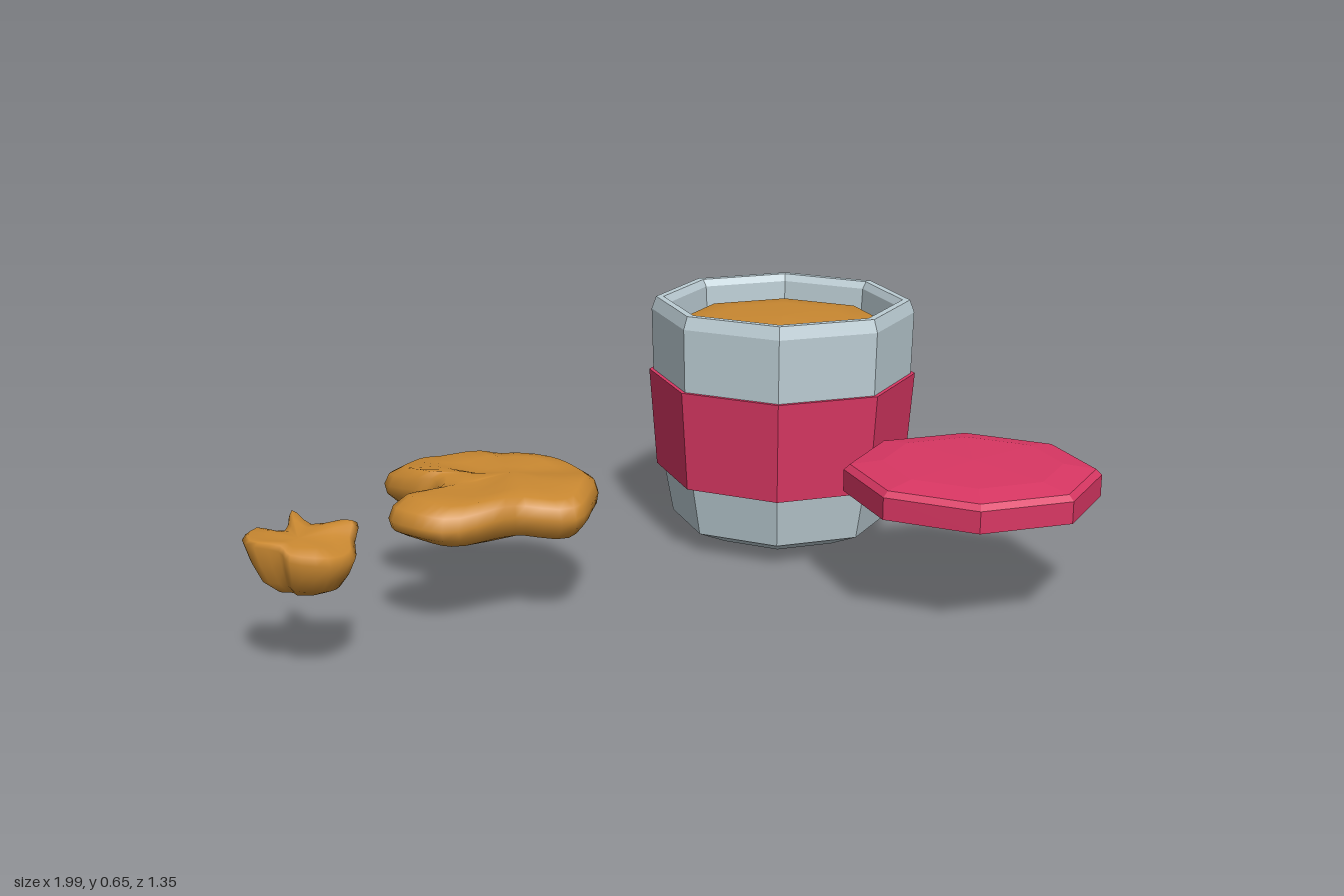
import * as THREE from 'three';
import { mergeVertices } from 'three/addons/utils/BufferGeometryUtils.js';

const material = (name, color, flatShading = false) => {
  const m = new THREE.MeshStandardMaterial({ color, flatShading });
  m.name = name;
  return m;
};

// Eight-sided turned form from [radius, height] pairs
function octagonal(profile, flat = true) {
  const g = new THREE.LatheGeometry(profile.map(([r, y]) => new THREE.Vector2(r, y)), 8);
  if (!flat) return g;
  const faceted = g.toNonIndexed();
  faceted.computeVertexNormals();
  return faceted;
}

// Lumpy solid: a closed outline [x, z, lift] repeated in rings [scale, y] about a centre
function lump(outline, [cx, cz], rings, samples, bump) {
  const curve = new THREE.CatmullRomCurve3(
    outline.map(([x, z, lift = 0]) => new THREE.Vector3(x, lift, z)), true, 'centripetal');
  const rim = Array.from({ length: samples }, (_, i) => curve.getPoint(i / samples));
  const positions = [], index = [];
  rings.forEach(([s, y], j) => rim.forEach((p, i) => {
    const x = cx + (p.x - cx) * s, z = cz + (p.z - cz) * s;
    const wave = bump * Math.sin(x * 23 + 1) * Math.cos(z * 19);
    positions.push(x, y + p.y * s * s + wave, z);
    if (j === rings.length - 1) return;
    const n = (i + 1) % samples;
    const a = j * samples + i, b = j * samples + n, d = a + samples, c = b + samples;
    if (s > 0) index.push(a, d, b);
    if (rings[j + 1][0] > 0) index.push(b, d, c);
  }));
  let g = new THREE.BufferGeometry();
  g.setAttribute('position', new THREE.Float32BufferAttribute(positions, 3));
  g.setIndex(index);
  g = mergeVertices(g, 1e-5);
  g.computeVertexNormals();
  return g;
}

export function createModel() {
  const root = new THREE.Group();
  root.name = 'jarWithCookie';
  const glass = material('paleGlass', 0xbccdd4);
  const red = material('raspberryRed', 0xd93763);
  const brown = material('cookieBrown', 0xc98831);

  const add = (parent, name, geometry, mat) => {
    const mesh = new THREE.Mesh(geometry, mat);
    mesh.name = name;
    parent.add(mesh);
    return mesh;
  };

  // Jar with bevelled foot and thick rim
  const jar = new THREE.Group();
  jar.name = 'jar';
  jar.position.set(0.64, 0, -0.32);
  root.add(jar);
  add(jar, 'jarBody', octagonal([
    [0, 0], [0.2, 0.015], [0.29, 0.055], [0.315, 0.19], [0.343, 0.45], [0.347, 0.615],
    [0.335, 0.648], [0.315, 0.648], [0.303, 0.63], [0.298, 0.55],
  ]), glass);
  add(jar, 'label', octagonal([
    [0.3, 0.187], [0.334, 0.187], [0.354, 0.45], [0.33, 0.45],
  ]), red);
  add(jar, 'filling', octagonal([
    [0.3, 0.565], [0.27, 0.588], [0.18, 0.596], [0, 0.6],
  ], false), brown);

  // Lid lying in front of the jar
  const lid = add(root, 'lid', octagonal([
    [0, 0.27], [0.315, 0.27], [0.315, 0.325], [0.3, 0.339], [0.22, 0.351], [0, 0.356],
  ]), red);
  lid.position.set(0.64, 0, 0.36);

  // Cookie with a bite out of its left side
  add(root, 'bittenCookie', lump([
    [-0.41, -0.65], [-0.34, -0.67], [-0.28, -0.64], [-0.155, -0.62], [-0.12, -0.56, -0.01],
    [-0.02, -0.46, -0.01], [-0.02, -0.34, -0.01], [-0.06, -0.235], [-0.14, -0.155],
    [-0.235, -0.1], [-0.325, -0.175], [-0.41, -0.19], [-0.53, -0.23], [-0.57, -0.29],
    [-0.57, -0.39], [-0.46, -0.4], [-0.41, -0.43], [-0.385, -0.48], [-0.41, -0.52],
  ], [-0.22, -0.37], [
    [0, 0.21], [0.35, 0.21], [0.65, 0.215], [0.88, 0.23], [0.98, 0.255], [1, 0.28],
    [0.96, 0.308], [0.85, 0.326], [0.6, 0.33], [0.3, 0.326], [0, 0.325],
  ], 57, 0.009), brown);

  // Crumb, wide and pointed at the top and narrow underneath
  add(root, 'crumb', lump([
    [-1, -0.305, 0.012], [-0.93, -0.39, 0.01], [-0.865, -0.365, -0.01], [-0.82, -0.405, 0.025],
    [-0.81, -0.33], [-0.74, -0.255, 0.02], [-0.77, -0.22, -0.01], [-0.8, -0.175, -0.03],
    [-0.875, -0.155, -0.03], [-0.945, -0.21, -0.02], [-0.95, -0.245],
  ], [-0.88, -0.28], [
    [0, 0.208], [0.4, 0.212], [0.7, 0.238], [0.88, 0.28], [1, 0.322],
    [0.9, 0.334], [0.6, 0.336], [0, 0.33],
  ], 33, 0.004), brown);

  return root;
}
